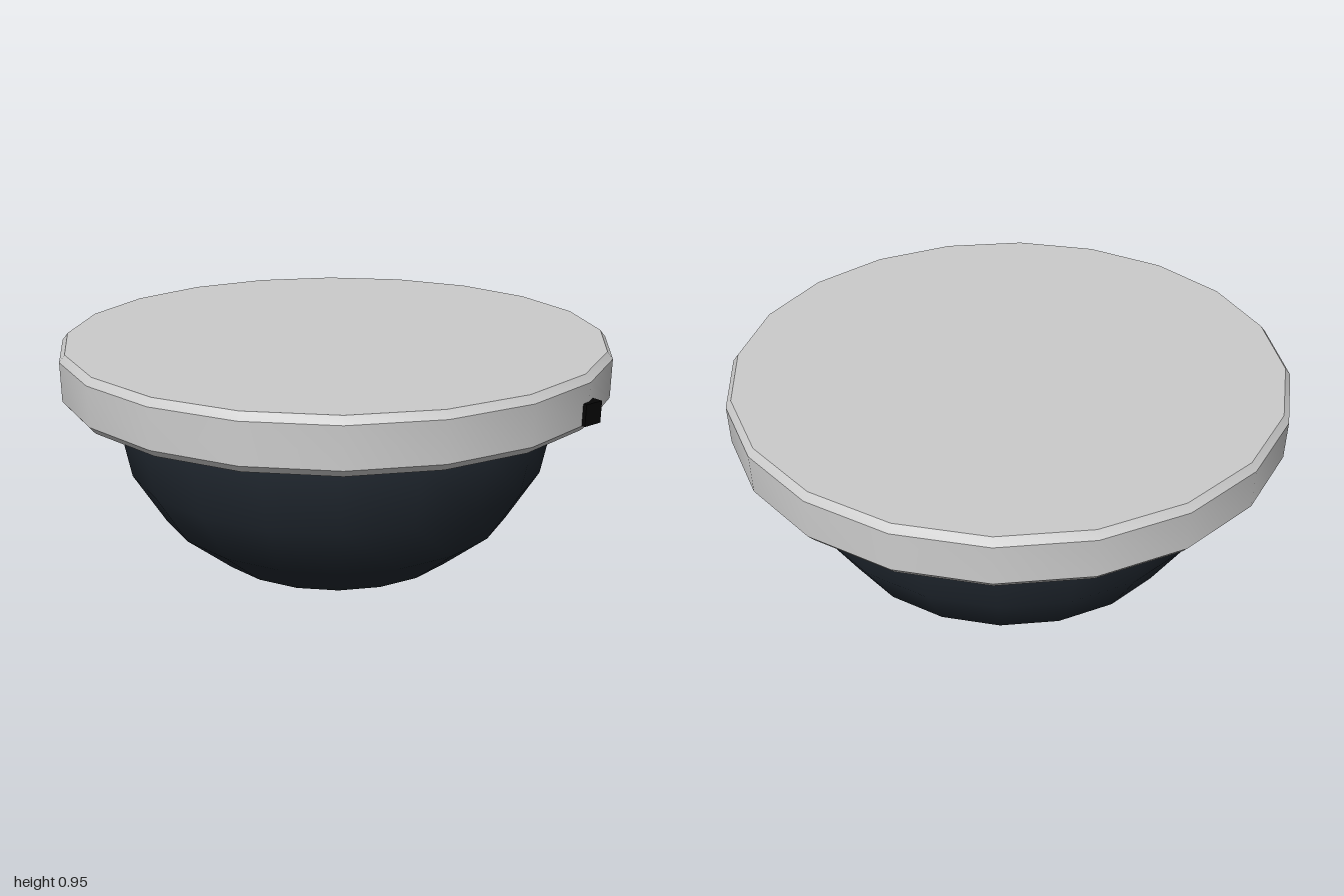
import * as THREE from 'three';
import { toCreasedNormals } from 'three/addons/utils/BufferGeometryUtils.js';

const SIDES = 20;

function addPart(group, name, geometry, color) {
  const mesh = new THREE.Mesh(geometry, new THREE.MeshStandardMaterial({ color }));
  mesh.name = name;
  group.add(mesh);
  return mesh;
}

export function createModel() {
  const group = new THREE.Group();
  group.name = 'domeCamera';

  // Mounting plate: 20-sided disc with bevelled rims
  const profile = [[0, 0.76], [0.98, 0.76], [1, 0.785], [1, 0.925], [0.98, 0.95], [0, 0.95]]
    .map(([r, y]) => new THREE.Vector2(r, y));
  const plate = toCreasedNormals(new THREE.LatheGeometry(profile, SIDES), Math.PI / 6);
  addPart(group, 'mountingPlate', plate, 0xcccccc);

  // Dark dome: slightly flattened sphere, its upper end hidden inside the plate
  const dome = new THREE.SphereGeometry(0.815, SIDES, 6, 0, Math.PI * 2, Math.PI * 0.4, Math.PI * 0.6);
  dome.scale(1, 0.695 / 0.815, 1);
  addPart(group, 'dome', dome, 0x20272f).position.y = 0.695;

  // Small black sensor block set into the front of the rim
  const sensor = new THREE.BoxGeometry(0.075, 0.075, 0.08);
  addPart(group, 'sensor', sensor, 0x050505).position.set(0.312, 0.823, 0.93);

  return group;
}
